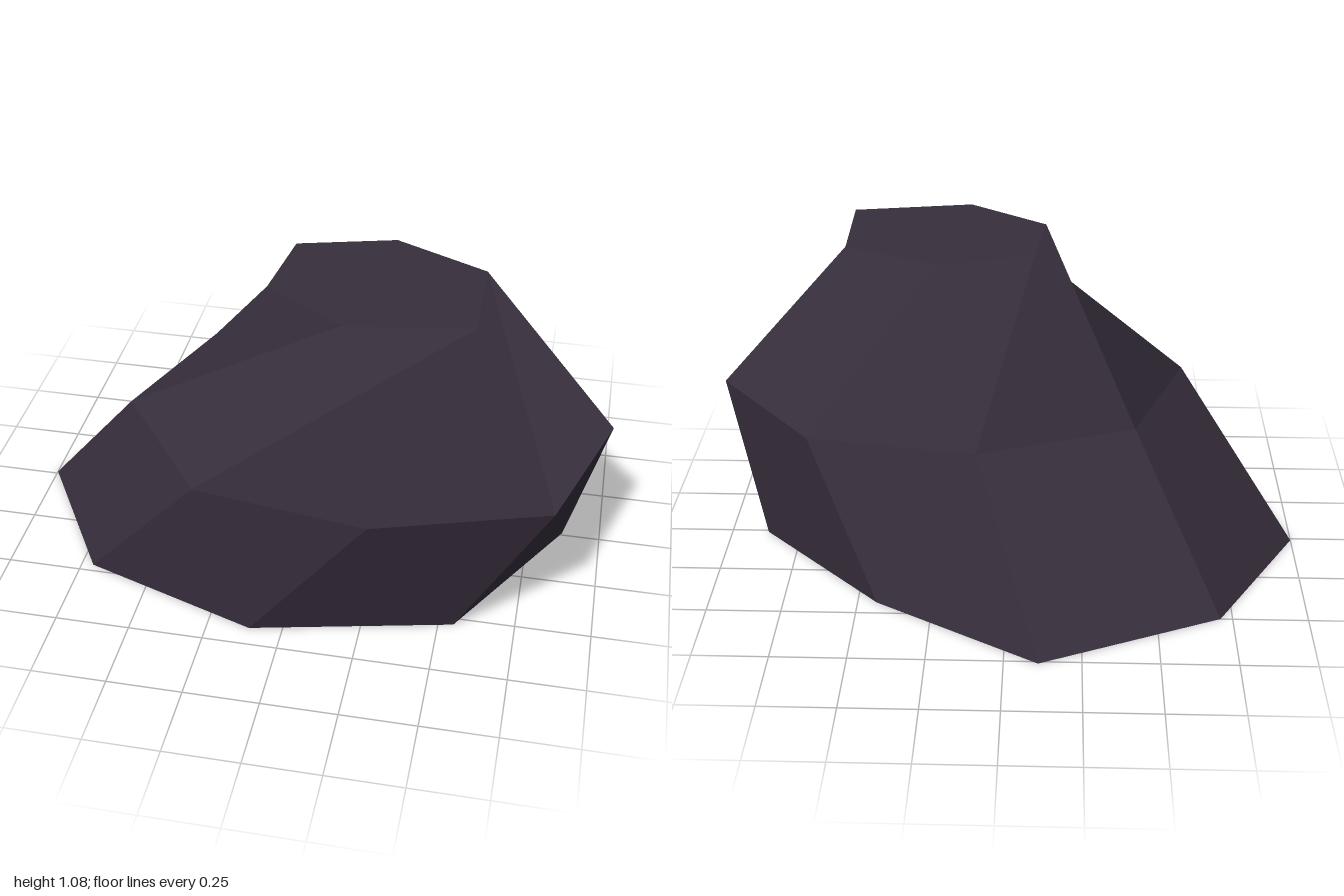
import * as THREE from 'three';

// Cross-sections as [x, z], running left, front, right, back
const BASE = [[-1, -0.01], [-0.71, 0.47], [-0.11, 0.675], [0.55, 0.53], [0.87, -0.01], [0.435, -0.44], [-0.11, -0.76], [-0.71, -0.5]];
const SHOULDER = [[-0.6, 0.25], [-0.28, 0.675], [0.29, 0.76], [0.845, 0.585], [1, 0.095], [0.66, -0.31], [0.1, -0.4], [-0.42, -0.215]];
const CROWN = [[0.15, 0.465], [0.555, 0.4], [0.55, 0.06], [0.24, -0.085], [-0.08, 0], [-0.115, 0.28]];

const ring = (points, y) => points.map(([x, z]) => new THREE.Vector3(x, y, z));

// Collects triangles that share one flat facet normal
function addFacet(facets, corners, normal) {
  for (const corner of corners) {
    facets.positions.push(...corner.toArray());
    facets.normals.push(...normal.toArray());
  }
}

// Joins two rings with bent quads, each shaded as one facet.
// folds: '/' folds from lower left to upper right, '\\' the other way
function loft(lower, upper, folds) {
  const facets = { positions: [], normals: [] };
  const count = lower.length;
  for (let i = 0; i < count; i++) {
    const a = lower[i], b = lower[(i + 1) % count];
    const c = upper[(i + 1) % count], d = upper[i];
    const normal = c.clone().sub(a).cross(d.clone().sub(b)).normalize();
    addFacet(facets, folds[i] === '/' ? [a, b, c, a, c, d] : [a, b, d, b, c, d], normal);
  }
  return facets;
}

// Closes a ring with a flat fan
function cap(points, up) {
  const facets = { positions: [], normals: [] };
  const normal = new THREE.Vector3(0, up ? 1 : -1, 0);
  for (let i = 1; i < points.length - 1; i++) {
    addFacet(facets, [points[0], points[up ? i : i + 1], points[up ? i + 1 : i]], normal);
  }
  return facets;
}

export function createModel() {
  const group = new THREE.Group();
  group.name = 'rock';
  const stone = new THREE.MeshStandardMaterial({ color: 0x372e3c });
  stone.name = 'dark stone';

  const add = (name, { positions, normals }) => {
    const geometry = new THREE.BufferGeometry();
    geometry.setAttribute('position', new THREE.Float32BufferAttribute(positions, 3));
    geometry.setAttribute('normal', new THREE.Float32BufferAttribute(normals, 3));
    const mesh = new THREE.Mesh(geometry, stone);
    mesh.name = name;
    group.add(mesh);
  };

  const base = ring(BASE, 0);
  const shoulder = ring(SHOULDER, 0.555);
  const crown = ring(CROWN, 1.08);
  // The eight-sided peak doubles back once along the right edge of the six-sided top
  const peakRim = [0, 1, 2, 3, 2, 3, 4, 5].map((i) => crown[i]);

  add('underside', cap(base, false));
  add('leaningWalls', loft(base, shoulder, '////////'));
  add('twistedPeak', loft(shoulder, peakRim, '/\\\\\\////'));
  add('flatTop', cap(crown, true));
  return group;
}
